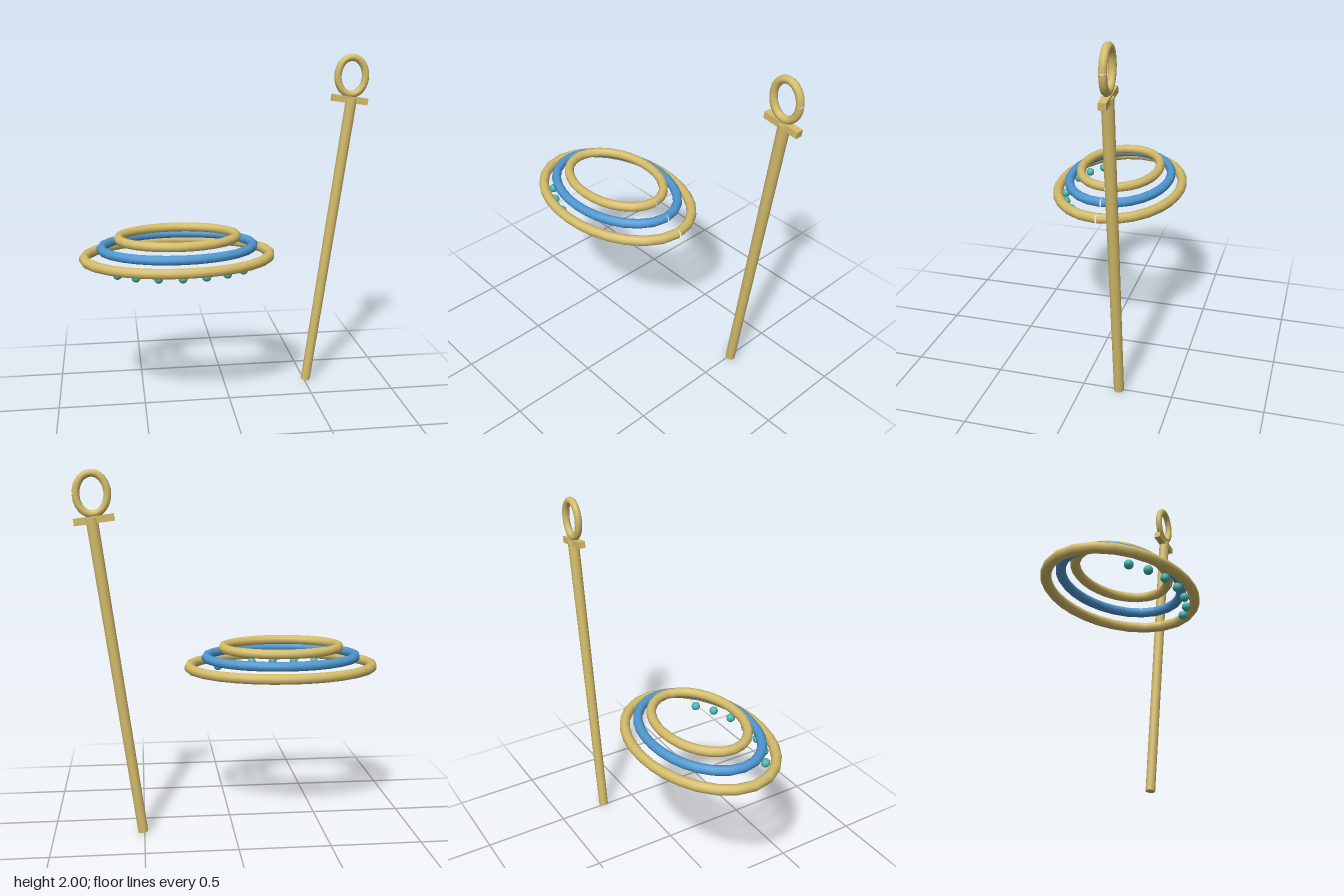
import * as THREE from 'three';

const gold = new THREE.MeshStandardMaterial({ name: 'gold', color: 0xd4bc6a });
const blue = new THREE.MeshStandardMaterial({ name: 'blue', color: 0x4f98d2 });
const teal = new THREE.MeshStandardMaterial({ name: 'teal', color: 0x45b5b0 });

// Round tube swept along an ellipse; upright rings stand in the xy plane.
function ellipseRing(name, rx, ry, tube, material, upright = false) {
  const points = [];
  for (let i = 0; i <= 24; i++) {
    const a = (i / 24) * Math.PI * 2;
    const u = Math.cos(a) * rx, v = Math.sin(a) * ry;
    points.push(upright ? new THREE.Vector3(u, v, 0) : new THREE.Vector3(u, 0, v));
  }
  const path = new THREE.CatmullRomCurve3(points);
  const mesh = new THREE.Mesh(new THREE.TubeGeometry(path, 28, tube, 10, false), material);
  mesh.name = name;
  return mesh;
}

export function createModel() {
  const model = new THREE.Group();
  model.name = 'crownAndStaff';

  // Three stacked oval hoops
  const crown = new THREE.Group();
  crown.name = 'crown';
  crown.position.x = -0.295;
  for (const [name, y, rx, rz, tube, material] of [
    ['lowerHoop', 0.895, 0.527, 0.36, 0.029, gold],
    ['middleHoop', 0.95, 0.43, 0.294, 0.027, blue],
    ['upperHoop', 1.005, 0.333, 0.228, 0.027, gold],
  ]) {
    const hoop = ellipseRing(name, rx, rz, tube, material);
    hoop.position.y = y;
    crown.add(hoop);
  }

  // Beads under the front edge
  const beadGeometry = new THREE.SphereGeometry(0.025, 14, 10);
  for (let i = 0; i < 7; i++) {
    const a = THREE.MathUtils.degToRad(40 + (i * 100) / 6);
    const bead = new THREE.Mesh(beadGeometry, teal);
    bead.name = 'bead' + (i + 1);
    bead.position.set(Math.cos(a) * 0.45, 0.855, Math.sin(a) * 0.32);
    crown.add(bead);
  }
  model.add(crown);

  // Leaning staff with crossbar and loop
  const staff = new THREE.Group();
  staff.name = 'staff';
  staff.position.z = -0.205;
  const foot = new THREE.Vector3(0.508, 0.004, 0);
  const head = new THREE.Vector3(0.745, 1.744, 0);
  const lean = -Math.atan2(head.x - foot.x, head.y - foot.y);

  const shaft = new THREE.Mesh(
    new THREE.CylinderGeometry(0.032, 0.028, foot.distanceTo(head), 14), gold);
  shaft.name = 'shaft';
  shaft.position.copy(foot).lerp(head, 0.5);
  shaft.rotation.z = lean;

  const crossbar = new THREE.Mesh(new THREE.BoxGeometry(0.213, 0.038, 0.04), gold);
  crossbar.name = 'crossbar';
  crossbar.position.set(0.733, 1.738, 0);
  crossbar.rotation.z = lean;

  const loop = ellipseRing('loop', 0.082, 0.106, 0.021, gold, true);
  loop.position.set(0.742, 1.873, 0);

  staff.add(shaft, crossbar, loop);
  model.add(staff);
  return model;
}
